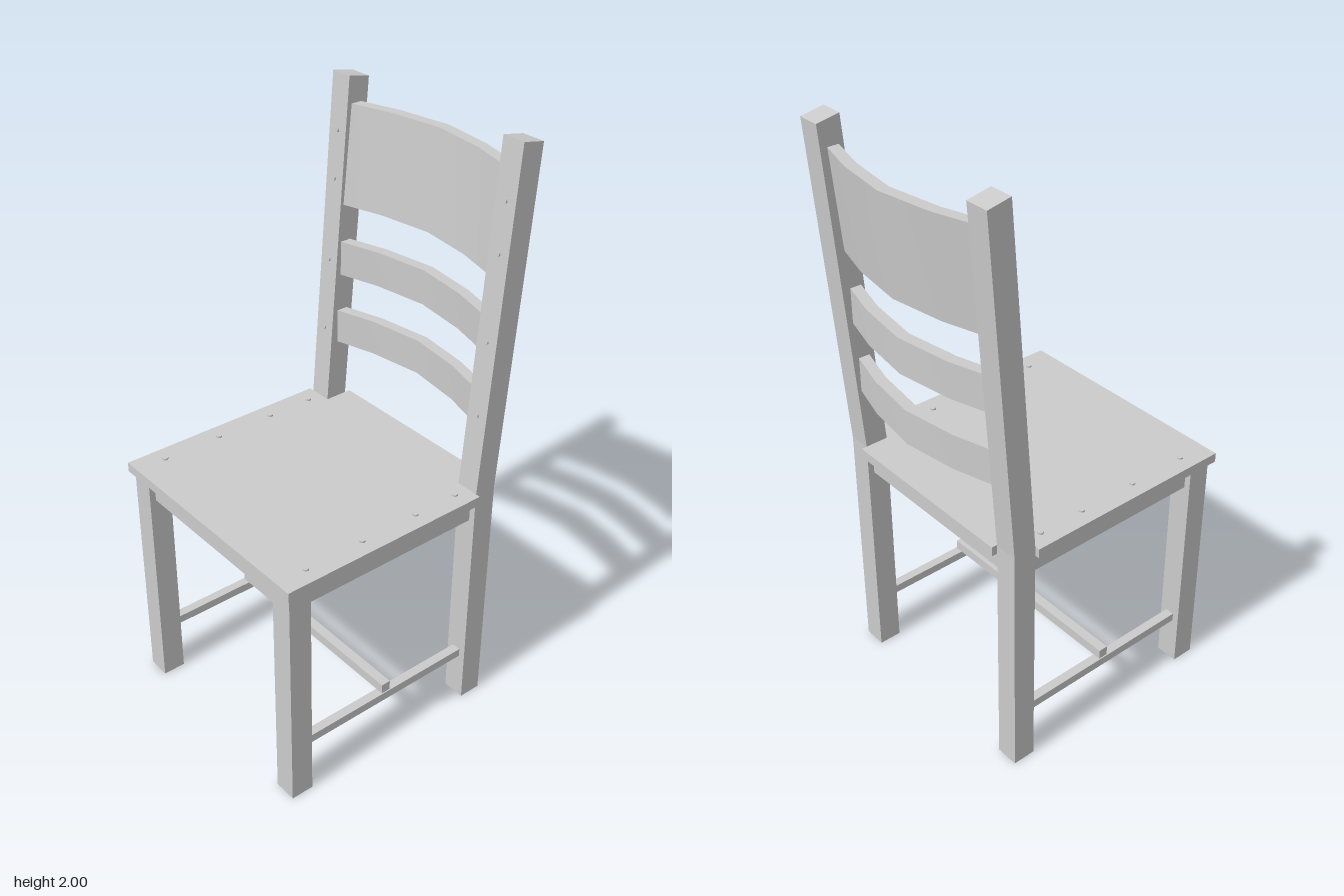
import * as THREE from 'three';
import { toCreasedNormals } from 'three/addons/utils/BufferGeometryUtils.js';

const material = new THREE.MeshStandardMaterial({ color: 0xcccccc });
const LEG_X = 0.373;
const LEAN = Math.atan2(0.087, 1.14);

export function createModel() {
  const chair = new THREE.Group();
  chair.name = 'chair';

  const add = (name, geometry) => {
    const mesh = new THREE.Mesh(geometry, material);
    mesh.name = name;
    chair.add(mesh);
    return mesh;
  };
  // Box given by its limits on each axis
  const box = (name, x0, x1, y0, y1, z0, z1) =>
    add(name, new THREE.BoxGeometry(x1 - x0, y1 - y0, z1 - z0))
      .position.set((x0 + x1) / 2, (y0 + y1) / 2, (z0 + z1) / 2);
  const shapeOf = (points) => new THREE.Shape(points.map(([x, y]) => new THREE.Vector2(x, y)));
  const extrude = (points, depth) =>
    new THREE.ExtrudeGeometry(shapeOf(points), { depth, bevelEnabled: false });

  // Seat board with its back corners cut away around the posts (drawn as x, -z)
  const seat = extrude([
    [-0.43, -0.48], [0.43, -0.48], [0.43, 0.28], [0.333, 0.28],
    [0.333, 0.38], [-0.333, 0.38], [-0.333, 0.28], [-0.43, 0.28],
  ], 0.033);
  seat.rotateX(-Math.PI / 2);
  add('seat', seat).position.y = 0.83;

  // Back post side profile (drawn as -z, y): upright leg, leaning back above the seat
  const postProfile = [
    [0.28, 0], [0.36, 0], [0.36, 0.86], [0.446, 1.985], [0.367, 2], [0.28, 0.86],
  ];

  for (const side of [-1, 1]) {
    const cx = side * LEG_X;
    const label = side > 0 ? 'left' : 'right';

    box(label + 'FrontLeg', cx - 0.04, cx + 0.04, 0, 0.83, 0.385, 0.465);

    const post = extrude(postProfile, 0.08);
    post.translate(0, 0, -0.04);
    post.rotateY(Math.PI / 2);
    add(label + 'BackPost', post).position.x = cx;

    box(label + 'SideApron', cx - 0.018, cx + 0.018, 0.75, 0.83, -0.285, 0.39);
    box(label + 'SideStretcher', cx - 0.016, cx + 0.016, 0.17, 0.2, -0.285, 0.39);

    // Screw heads along the seat edge
    for (const z of [0.372, 0.157, -0.058, -0.225]) {
      add('seatScrew', new THREE.CylinderGeometry(0.01, 0.01, 0.012, 16))
        .position.set(cx, 0.863, z);
    }
    // Small screw heads on the front of the leaning post
    for (const y of [1.13, 1.38, 1.66, 1.82]) {
      const screw = add('postScrew', new THREE.CylinderGeometry(0.008, 0.008, 0.012, 12));
      screw.position.set(cx, y, -0.28 - (y - 0.86) * Math.tan(LEAN));
      screw.rotation.x = Math.PI / 2 - LEAN;
    }
  }

  // Front and back aprons, cross stretcher
  box('frontApron', -0.34, 0.34, 0.75, 0.83, 0.407, 0.443);
  box('backApron', -0.34, 0.34, 0.75, 0.83, -0.338, -0.302);
  box('crossStretcher', -0.385, 0.385, 0.2, 0.235, 0.035, 0.069);

  // Bowed slat: front face follows the bow, sheared backwards by lean over its height
  const bow = [[-0.336, 0.067], [-0.19, 0.026], [0, 0], [0.19, 0.026], [0.336, 0.067]];
  const slat = (name, y0, y1, z, lean) => {
    const front = bow.map(([x, d]) => [x, -z - d]);
    const back = bow.map(([x, d]) => [x, -z - d + 0.039]).reverse();
    const geometry = extrude([...front, ...back], y1 - y0);
    geometry.rotateX(-Math.PI / 2);
    const p = geometry.attributes.position;
    for (let i = 0; i < p.count; i++) p.setZ(i, p.getZ(i) - p.getY(i) * lean);
    add(name, toCreasedNormals(geometry, 0.5)).position.y = y0;
  };
  slat('lowerSlat', 1.08, 1.2, -0.391, 0);
  slat('middleSlat', 1.33, 1.45, -0.403, 0);
  slat('topSlat', 1.578, 1.91, -0.413, 0.09);

  return chair;
}
